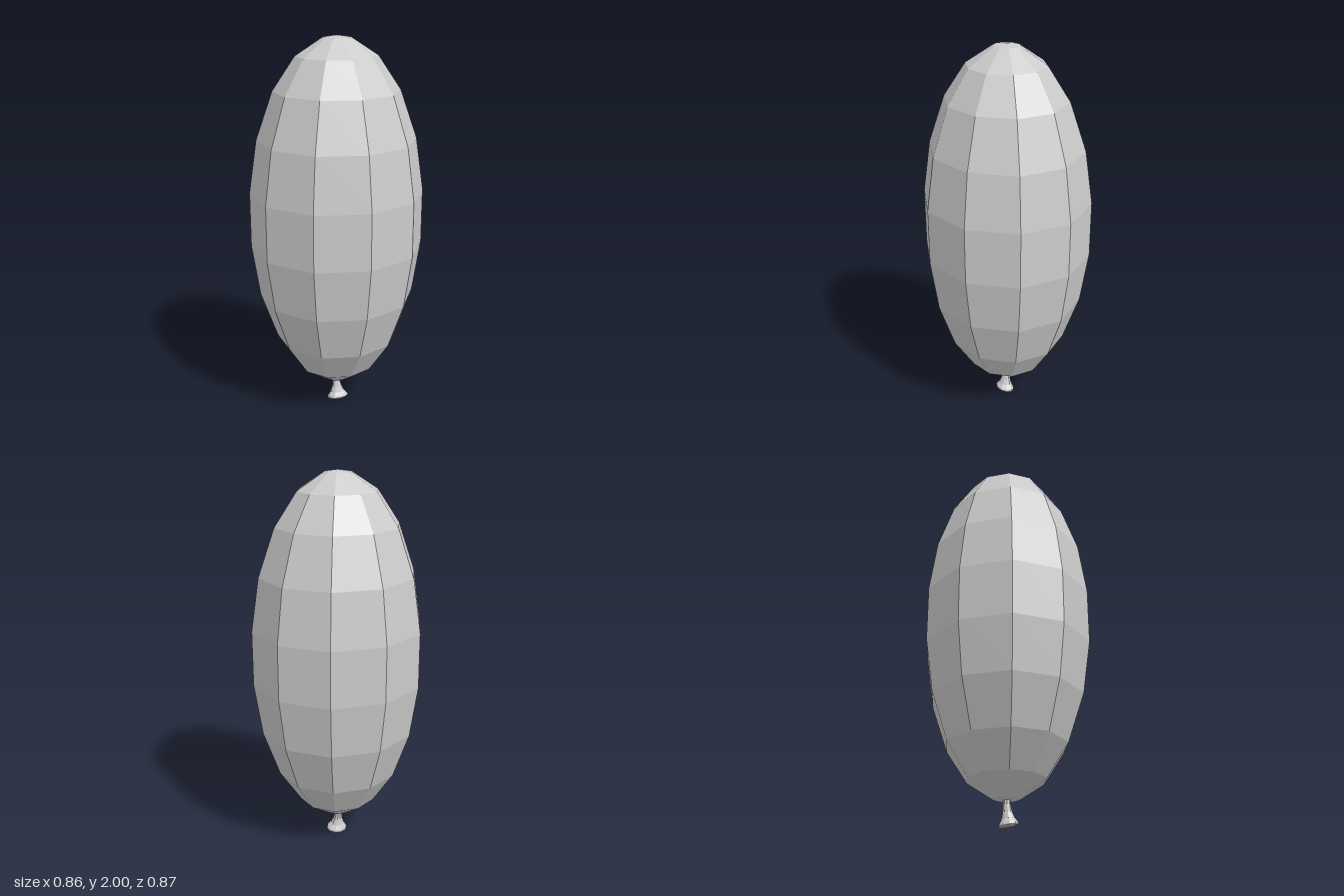
import * as THREE from 'three';

const V = (x, y) => new THREE.Vector2(x, y);

export function createModel() {
  const group = new THREE.Group();
  const material = new THREE.MeshStandardMaterial({
    color: 0xcccccc, flatShading: true, side: THREE.DoubleSide,
  });

  // Ten-sided body: [radius, height from the middle], mirrored top to bottom
  const half = [[0.433, 0.145], [0.393, 0.42], [0.31, 0.665], [0.2, 0.835], [0.068, 0.925], [0, 0.935]];
  const profile = [
    ...half.map(([r, h]) => V(r, -h)).reverse(),
    ...half.map(([r, h]) => V(r, h)),
  ];
  const body = new THREE.Mesh(new THREE.LatheGeometry(profile, 10), material);
  body.name = 'balloonBody';
  body.scale.x = 1.043;
  body.position.y = 1.065;
  group.add(body);

  // Flared neck with a thin rolled lip and hollow mouth
  const neckProfile = [
    V(0.006, 0.08), V(0.022, 0.04), V(0.046, 0.012), V(0.056, 0.009),
    V(0.059, 0.016), V(0.054, 0.026), V(0.038, 0.045), V(0.026, 0.075),
    V(0.019, 0.11), V(0.018, 0.15),
  ];
  const neckGeometry = new THREE.LatheGeometry(neckProfile, 10);

  // Tilt the lip so the mouth faces slightly forward, fading out up the neck
  const p = neckGeometry.attributes.position;
  for (let i = 0; i < p.count; i++) {
    const fade = Math.max(0, 1 - p.getY(i) / 0.11);
    const z = p.getZ(i) * (1 - 0.2 * fade);
    p.setY(i, p.getY(i) + fade * (z * 0.23 + p.getX(i) * 0.04));
    p.setX(i, p.getX(i) + 0.006 * fade - 0.004);
    p.setZ(i, z + 0.012 * fade);
  }
  neckGeometry.computeVertexNormals();
  const neck = new THREE.Mesh(neckGeometry, material);
  neck.name = 'neck';
  group.add(neck);

  return group;
}
